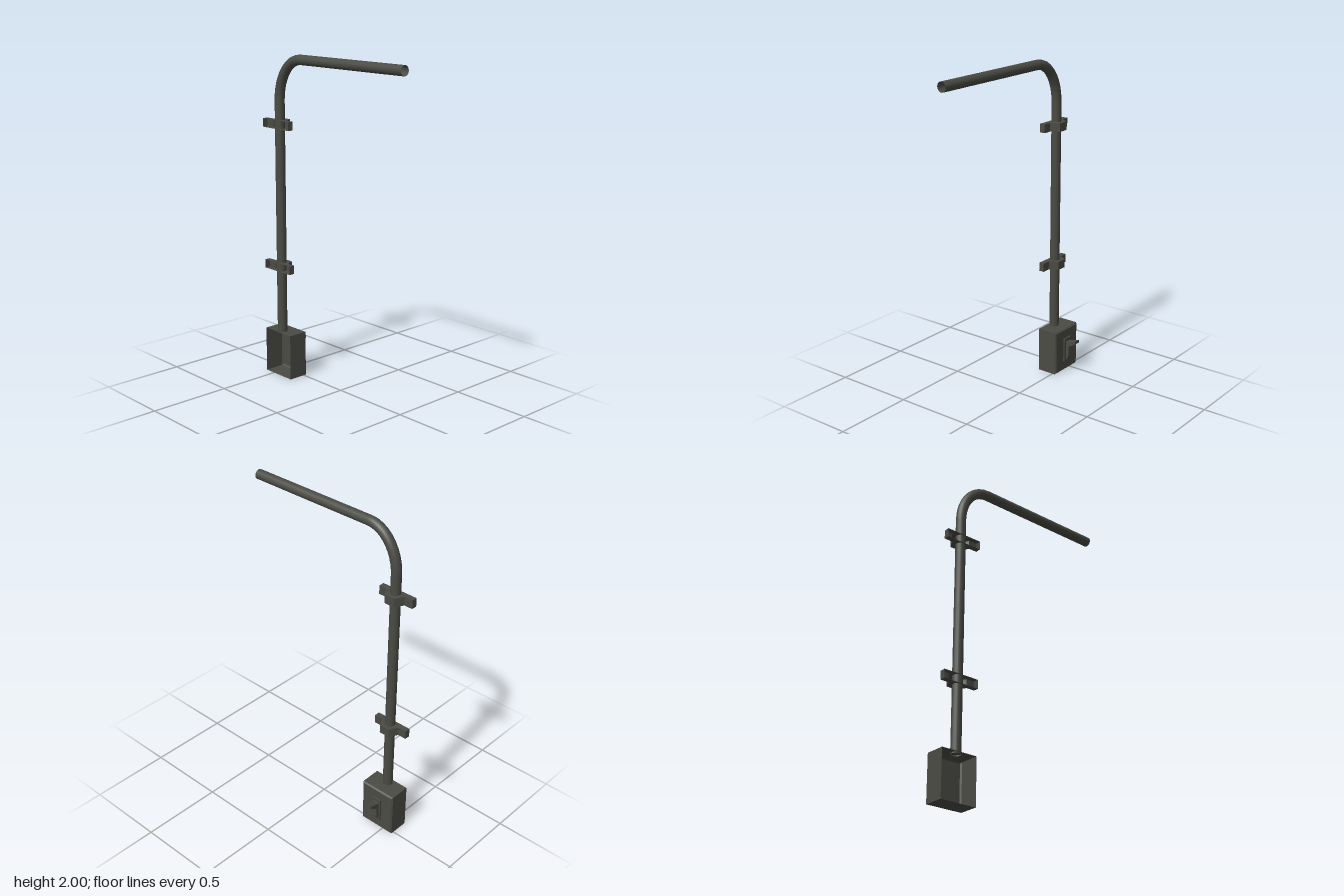
import * as THREE from 'three';

const PX = -0.072, PZ = -0.453, R = 0.03, TOP = 1.97, BACK = -0.107;

// Removes the faces lying on the wall side, leaving a hollow shell.
function openBack(geometry) {
  const p = geometry.getAttribute('position');
  const kept = [];
  for (let i = 0; i < p.count; i += 3) {
    if (Math.max(p.getX(i), p.getX(i + 1), p.getX(i + 2)) < BACK + 0.001) continue;
    for (let k = i; k < i + 3; k++) kept.push(p.getX(k), p.getY(k), p.getZ(k));
  }
  const shell = new THREE.BufferGeometry();
  shell.setAttribute('position', new THREE.Float32BufferAttribute(kept, 3));
  shell.computeVertexNormals();
  return shell;
}

const shapeOf = (points) => new THREE.Shape(points.map(([x, y]) => new THREE.Vector2(x, y)));

export function createModel() {
  const group = new THREE.Group();
  const metal = new THREE.MeshStandardMaterial({ color: 0x4b4b45, side: THREE.DoubleSide });
  metal.name = 'darkGreyMetal';
  const add = (name, geometry, x = 0, y = 0, z = 0) => {
    const mesh = new THREE.Mesh(geometry, metal);
    mesh.name = name;
    mesh.position.set(x, y, z);
    group.add(mesh);
    return mesh;
  };

  // Open conduit: upright, bend and horizontal arm
  const bendY = 1.72, bendZ = -0.26, armEnd = 0.57, foot = 0.275;
  add('uprightPipe', new THREE.CylinderGeometry(R, R, bendY - foot, 16, 1, true),
    PX, (bendY + foot) / 2, PZ);
  const bend = new THREE.Curve();
  bend.getPoint = (t, target = new THREE.Vector3()) => {
    const a = t * Math.PI / 2;
    return target.set(PX, bendY + (TOP - bendY) * Math.sin(a), bendZ - (bendZ - PZ) * Math.cos(a));
  };
  add('pipeBend', new THREE.TubeGeometry(bend, 10, R, 16, false));
  const arm = new THREE.CylinderGeometry(R, R, armEnd - bendZ, 16, 1, true).rotateX(Math.PI / 2);
  add('horizontalPipe', arm, PX, TOP, (armEnd + bendZ) / 2);

  // Wall clamps: two flanges with a raised middle over the pipe
  const half = [[BACK, 0.115], [-0.073, 0.115], [-0.073, 0.062], [-0.02, 0.033]];
  const outline = [...half, ...half.map(([x, z]) => [x, -z]).reverse()];
  for (const [name, y] of [['lowerClamp', 0.674], ['upperClamp', 1.552]]) {
    const clamp = new THREE.ExtrudeGeometry(shapeOf(outline), { depth: 0.053, bevelEnabled: false });
    clamp.rotateX(-Math.PI / 2);
    add(name, openBack(clamp), 0, y, PZ);
  }

  // Switch box with chamfered front edges, open towards the wall
  const b = 0.008;
  const box = new THREE.ExtrudeGeometry(
    shapeOf([[-0.115, 0], [0.115, 0], [0.115, 0.282], [-0.115, 0.282]]),
    { depth: 0.132 - 2 * b, bevelThickness: b, bevelSize: b, bevelOffset: -b, bevelSegments: 1 });
  box.rotateY(Math.PI / 2).translate(BACK + b, 0, 0);
  // Straighten the rear chamfer so the side walls reach the wall squarely
  const p = box.getAttribute('position');
  for (let i = 0; i < p.count; i++) {
    if (p.getX(i) > BACK + 0.001) continue;
    p.setY(i, p.getY(i) < 0.14 ? 0 : 0.282);
    p.setZ(i, Math.sign(p.getZ(i)) * 0.115);
  }
  add('switchBox', openBack(box), 0, 0, -0.455);

  // Switch surround and lever
  add('switchPlate', new THREE.BoxGeometry(0.012, 0.155, 0.066), 0.029, 0.142, -0.455);
  const lever = new THREE.ExtrudeGeometry(
    shapeOf([[0.03, 0.075], [0.037, 0.075], [0.053, 0.095], [0.053, 0.165],
      [0.105, 0.197], [0.105, 0.215], [0.045, 0.198], [0.03, 0.198]]),
    { depth: 0.04, bevelEnabled: false });
  add('switchLever', lever, 0, 0, -0.477);

  return group;
}
